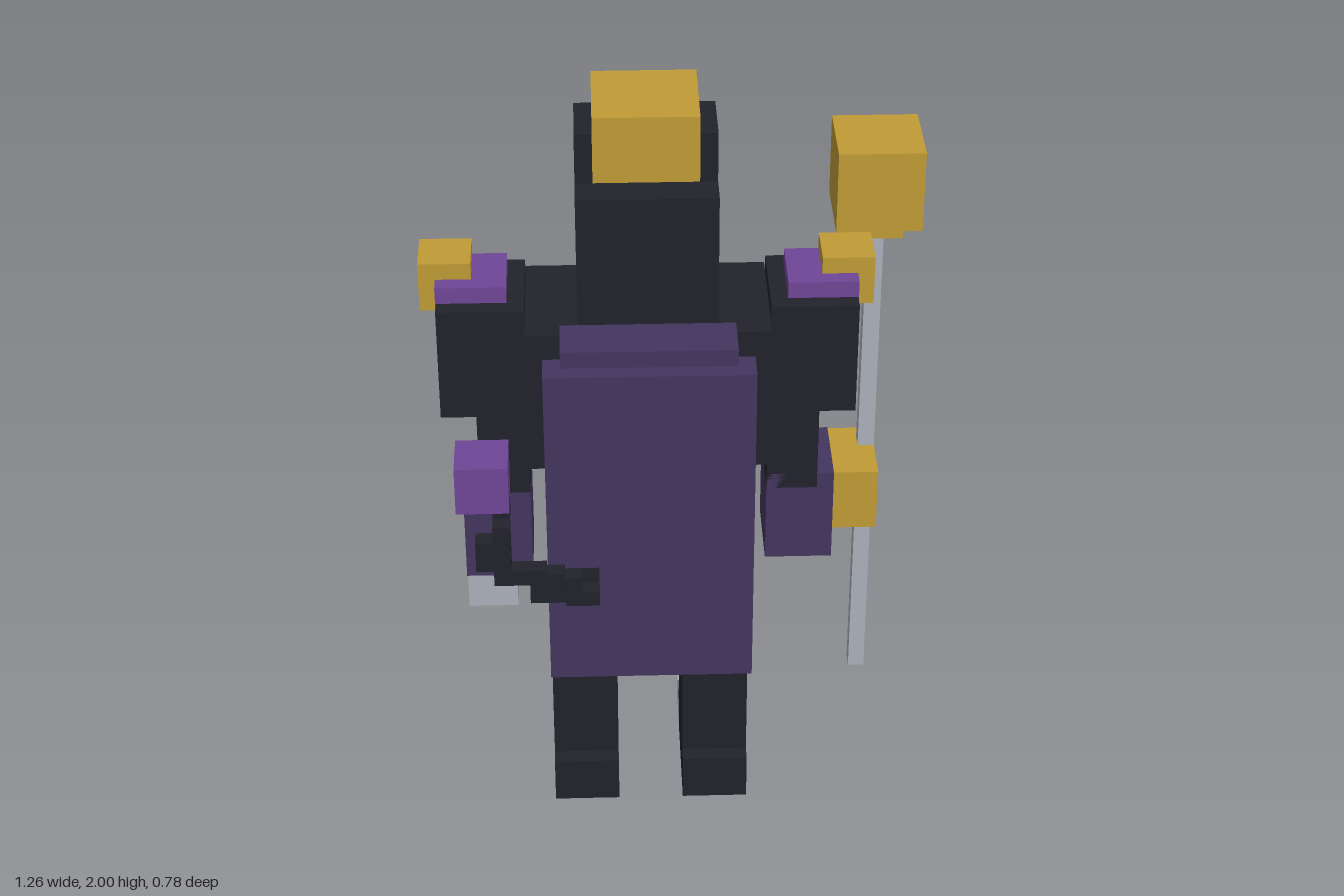
import * as THREE from 'three';

const U = 2 / 46; // one block unit

export function createModel() {
  const root = new THREE.Group();
  root.name = 'armouredFigure';

  const mat = (name, color) => {
    const m = new THREE.MeshStandardMaterial({ color });
    m.name = name;
    return m;
  };
  const black = mat('blackArmour', 0x22222c);
  const gold = mat('gold', 0xc09c36);
  const purple = mat('purple', 0x6f4696);
  const cloth = mat('darkPurpleCloth', 0x43365e);
  const steel = mat('steel', 0xabb1bb);
  const red = mat('red', 0xa82a38);

  // Box between two corners, measured in block units
  function box(name, m, x0, x1, y0, y1, z0, z1) {
    const g = new THREE.BoxGeometry((x1 - x0) * U, (y1 - y0) * U, (z1 - z0) * U);
    const mesh = new THREE.Mesh(g, m);
    mesh.name = name;
    mesh.position.set(((x0 + x1) / 2 - 14.5) * U, ((y0 + y1) / 2) * U, ((z0 + z1) / 2 - 9) * U);
    root.add(mesh);
  }
  // Same box on both sides of the body's middle (13 units)
  function pair(name, m, x0, x1, y0, y1, z0, z1) {
    box(name + 'Right', m, x0, x1, y0, y1, z0, z1);
    box(name + 'Left', m, 26 - x1, 26 - x0, y0, y1, z0, z1);
  }
  const e = 0.04; // small lift for flush details

  // Legs
  pair('leg', black, 7, 11, 3, 15, 5, 11);
  pair('foot', black, 7, 11, 0, 3, 5, 12);
  pair('instep', black, 7, 11, 2, 3, 4, 5);
  pair('toe', steel, 7, 11, 0, 2, 2, 5);
  pair('shin', purple, 8, 10, 4, 12, 4, 5);
  pair('knee', gold, 7 - e, 11 + e, 12, 16, 3, 6);

  // Skirt and buckle
  box('skirt', cloth, 7, 19, 15, 22, 4, 11);
  box('buckleTop', red, 11, 15, 22, 23, 3, 5);
  box('buckleBand', gold, 11, 15, 20, 22, 3, 5);
  box('buckleBottom', red, 11, 15, 17, 20, 3, 5);

  // Torso
  box('waist', black, 8, 18, 22, 25, 5, 10);
  box('chest', black, 6, 20, 25, 34, 4, 12);

  // Beast face on the breastplate
  box('beastFace', black, 9, 17, 26, 33, 1, 4);
  pair('beastEar', black, 9, 11, 33, 35, 2, 4);
  pair('beastEye', gold, 9 - e, 11, 30, 32, 1 - e, 2);
  box('beastJaw', steel, 10, 16, 26 - e, 29, 0, 3);

  // Head and helmet
  box('head', black, 9, 17, 34, 40, 4, 11);
  box('headTop', black, 9, 17, 40, 42, 5, 11);
  pair('eye', gold, 10, 12, 37, 39, 3, 4);
  box('helmet', gold, 10, 16, 40, 46, 3, 9);
  pair('helmetSide', black, 9, 10, 42, 45, 5, 9);
  box('helmetGem', purple, 11, 15, 42, 45, 3 - e, 3);

  // Arms and shoulders
  pair('upperArm', black, 1, 6, 28, 35, 5, 11);
  pair('shoulderPad', purple, 1 - e, 5, 33, 36, 6, 10);
  pair('shoulderStud', gold, 0, 3, 34, 37, 6, 9);
  pair('elbow', black, 3, 6, 22, 28, 6, 10);
  box('forearmRight', cloth, 2, 6, 16, 22, 5, 10);
  box('fistRight', steel, 2, 5, 13, 16, 5, 9);
  box('forearmLeft', cloth, 20, 24, 17, 23, 5, 10);
  box('fistLeft', gold, 22, 27, 17 - e, 21, 2, 7);

  // Staff
  box('staffShaft', steel, 26, 27, 4, 36, 3, 4);
  box('staffNeck', gold, 25, 28, 36, 37, 2, 5);
  box('staffHead', gold, 24, 29, 37, 42, 1, 6);

  // Cape
  box('cape', cloth, 7, 19, 12, 33, 13, 15);
  box('capeCollar', cloth, 8, 18, 28, 34 + e, 11, 14);

  // Stepped tail with a block tip
  const tail = [
    [9, 10, 19, 20, 11, 15],
    [8, 10, 18, 19, 15, 16],
    [7, 9, 19, 20, 15, 16],
    [6, 8, 19, 21, 16, 17],
    [4, 7, 21, 22, 17, 18],
    [4, 5, 22, 25, 17, 18],
    [3, 4, 22, 24, 17, 18],
    [4, 5, 25, 26, 16, 17],
  ];
  tail.forEach((s, i) => box('tailSegment' + (i + 1), black, ...s));
  box('tailTip', purple, 2, 5, 26, 29, 15, 18);

  return root;
}
